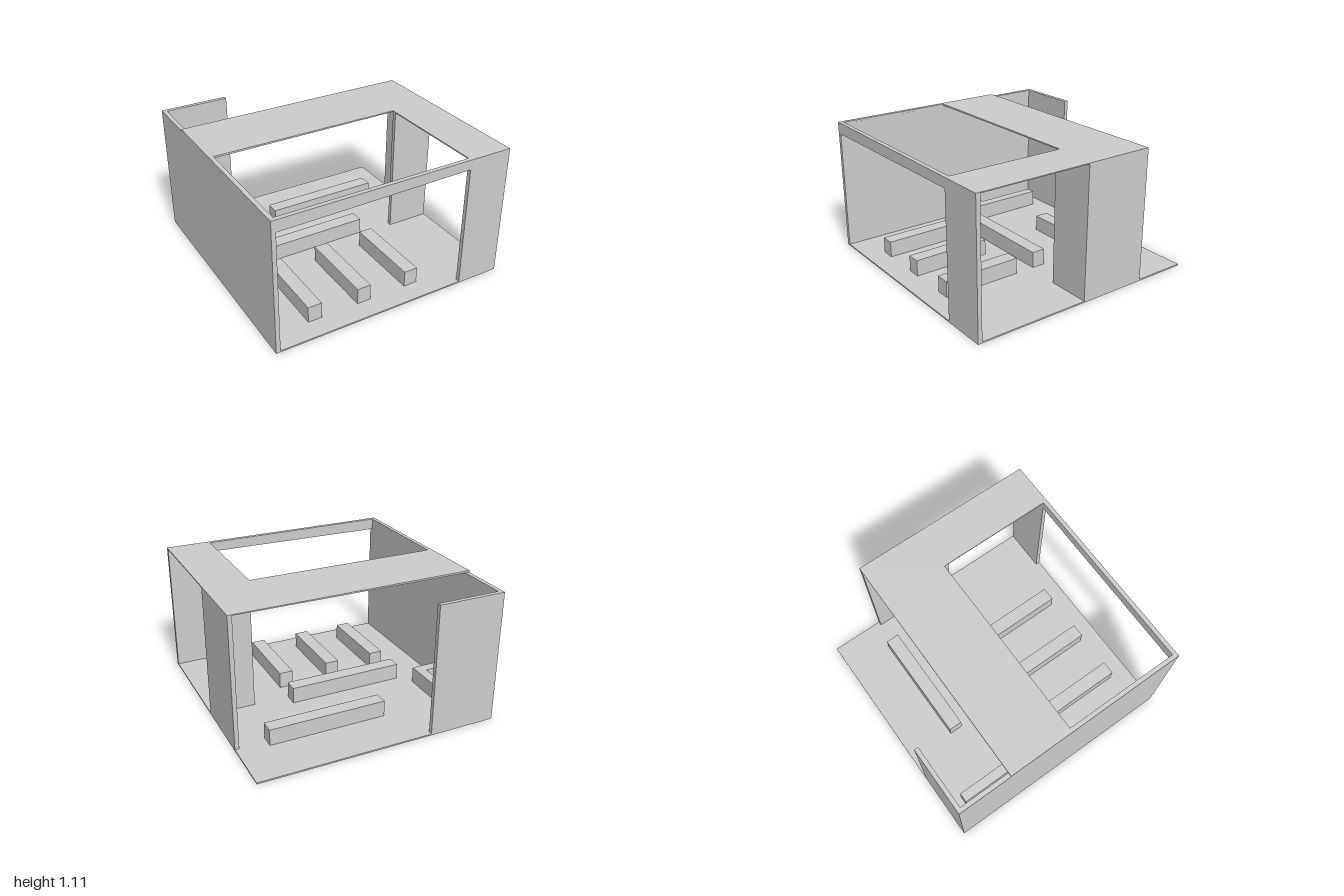
import * as THREE from 'three';

const FLOOR = 0.012, LOW = 1.092, HIGH = 1.1, TOP = 1.108, T = 0.035;
// Underside of the slightly wedge-shaped roof
const roofUnder = (x) => LOW + (HIGH - LOW) * (x + 1) / 2;

export function createModel() {
  const group = new THREE.Group();
  group.name = 'openPavilion';
  const material = new THREE.MeshStandardMaterial({ color: 0xcccccc, flatShading: true });

  const add = (name, geometry) => {
    const mesh = new THREE.Mesh(geometry, material);
    mesh.name = name;
    group.add(mesh);
    return mesh;
  };
  // Box given by its limits on each axis
  const block = (name, x0, x1, y0, y1, z0, z1) => {
    const g = new THREE.BoxGeometry(x1 - x0, y1 - y0, z1 - z0);
    g.translate((x0 + x1) / 2, (y0 + y1) / 2, (z0 + z1) / 2);
    return add(name, g);
  };
  const outline = (points) => new THREE.Shape(points.map(([x, y]) => new THREE.Vector2(x, y)));
  const extrude = (shape, depth) => new THREE.ExtrudeGeometry(shape, { depth, bevelEnabled: false });

  // Floor slab
  block('floor', -1, 1, 0, FLOOR, -1, 1);

  // Solid side wall, short back wall, and the L of walls on the other side
  block('sideWall', -1, -1 + T, FLOOR, LOW, -1, 1 - T);
  block('backWall', -1 + T, -0.437, FLOOR, LOW, -1, -1 + T);
  block('rightWall', 1 - T, 1, FLOOR, HIGH, -0.55, T);
  block('innerWall', 0.632, 1 - T, FLOOR, HIGH, 0, T);

  // Front wall with a large opening under a sloping lintel
  const front = extrude(outline([
    [-1, FLOOR], [-1 + T, FLOOR], [-1 + T, 1.012], [0.632, 1.027],
    [0.632, FLOOR], [1, FLOOR], [1, HIGH], [-1, LOW],
  ]), T);
  front.translate(0, 0, 1 - T);
  add('frontWall', front);

  // Roof plate with a skylight opening
  const plan = outline([[-1, -0.55], [1, -0.55], [1, 1], [-1, 1]]);
  plan.holes.push(outline([[-1 + T, 0], [-1 + T, 1 - T], [0.632, 1 - T], [0.632, 0]]));
  const roof = extrude(plan, 0.01);
  roof.rotateX(Math.PI / 2);
  const p = roof.attributes.position;
  for (let i = 0; i < p.count; i++) {
    p.setY(i, p.getY(i) < -0.005 ? roofUnder(p.getX(i)) : TOP);
  }
  roof.computeVertexNormals();
  add('roof', roof);

  // Three parallel benches below the skylight
  for (const x of [-0.588, -0.157, 0.278]) {
    block('bench', x - 0.058, x + 0.058, FLOOR, 0.147, 0.168, 0.83);
  }

  // Long benches running across the room
  block('middleBench', -0.645, 0.335, FLOOR, 0.147, -0.115, 0);
  block('backBench', -0.24, 0.743, FLOOR, 0.147, -0.61, -0.495);

  // L-shaped counter by the side wall
  const counter = extrude(outline([
    [-1 + T, -0.225], [-1 + T, -0.31], [-0.818, -0.31],
    [-0.818, -0.85], [-0.736, -0.85], [-0.736, -0.225],
  ]), 0.147 - FLOOR);
  counter.rotateX(Math.PI / 2);
  counter.translate(0, 0.147, 0);
  add('counter', counter);

  return group;
}
